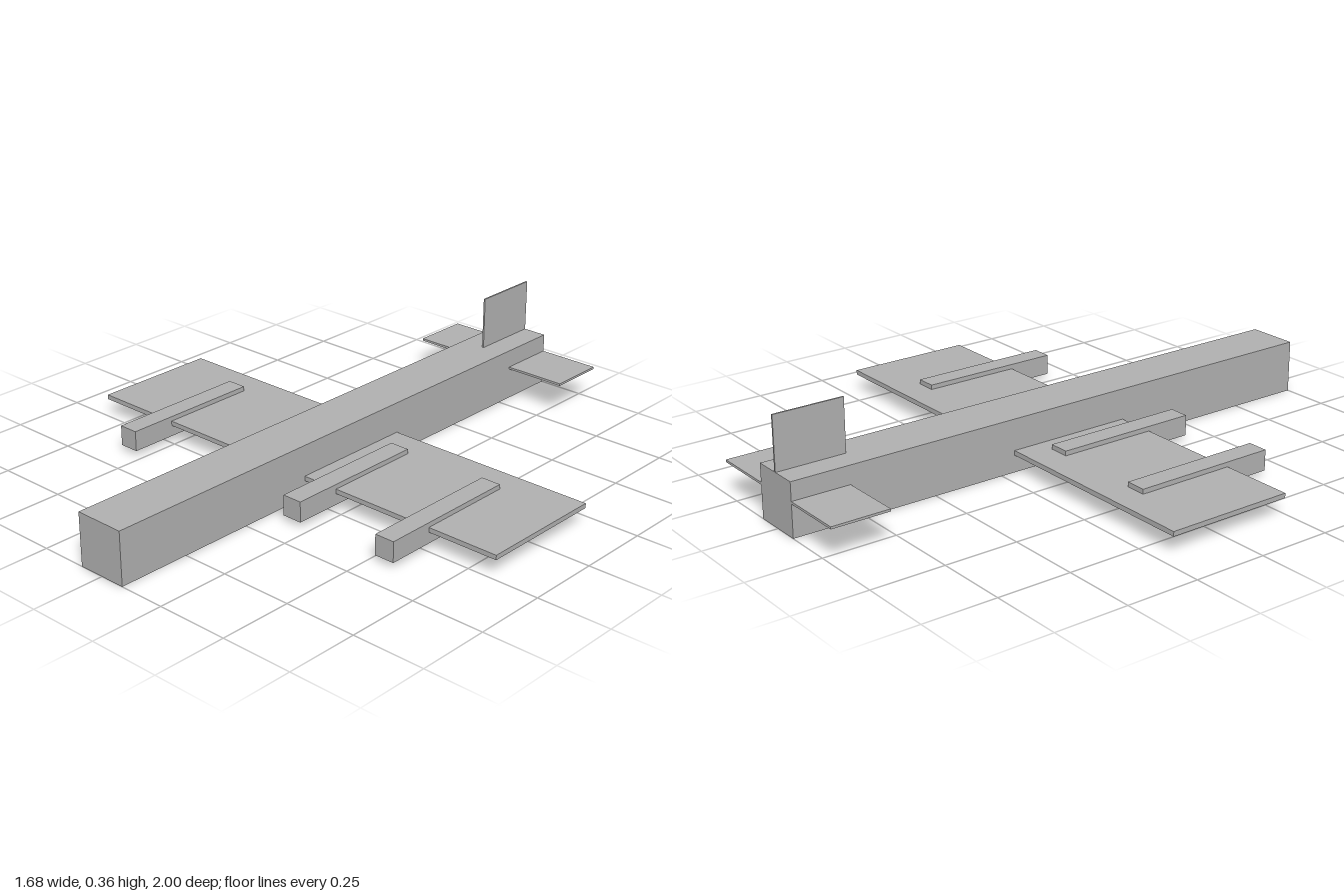
import * as THREE from 'three';

export function createModel() {
  const model = new THREE.Group();
  model.name = 'airplane';
  const grey = new THREE.MeshStandardMaterial({ color: 0xb0b0b0 });
  grey.name = 'airframe grey';

  // Box given by its extents on each axis
  const block = (name, [x0, x1], [y0, y1], [z0, z1]) => {
    const mesh = new THREE.Mesh(new THREE.BoxGeometry(x1 - x0, y1 - y0, z1 - z0), grey);
    mesh.position.set((x0 + x1) / 2, (y0 + y1) / 2, (z0 + z1) / 2);
    mesh.name = name;
    model.add(mesh);
  };

  // Body and flying surfaces
  block('fuselage', [-0.088, 0.088], [0, 0.18], [-1, 1]);
  block('wing', [-0.842, 0.842], [0.058, 0.074], [-0.2, 0.24]);
  block('tailplane', [-0.305, 0.305], [0.11, 0.118], [-1, -0.8]);
  block('tailFin', [-0.003, 0.003], [0.17, 0.36], [-1, -0.76]);

  // Two engines under each wing
  for (const [side, label] of [[1, 'left'], [-1, 'right']]) {
    for (const [x, place] of [[0.185, 'Inner'], [0.556, 'Outer']]) {
      block(`${label}${place}Engine`, [side * x - 0.035, side * x + 0.035], [0.02, 0.09], [-0.1, 0.4]);
    }
  }
  return model;
}
